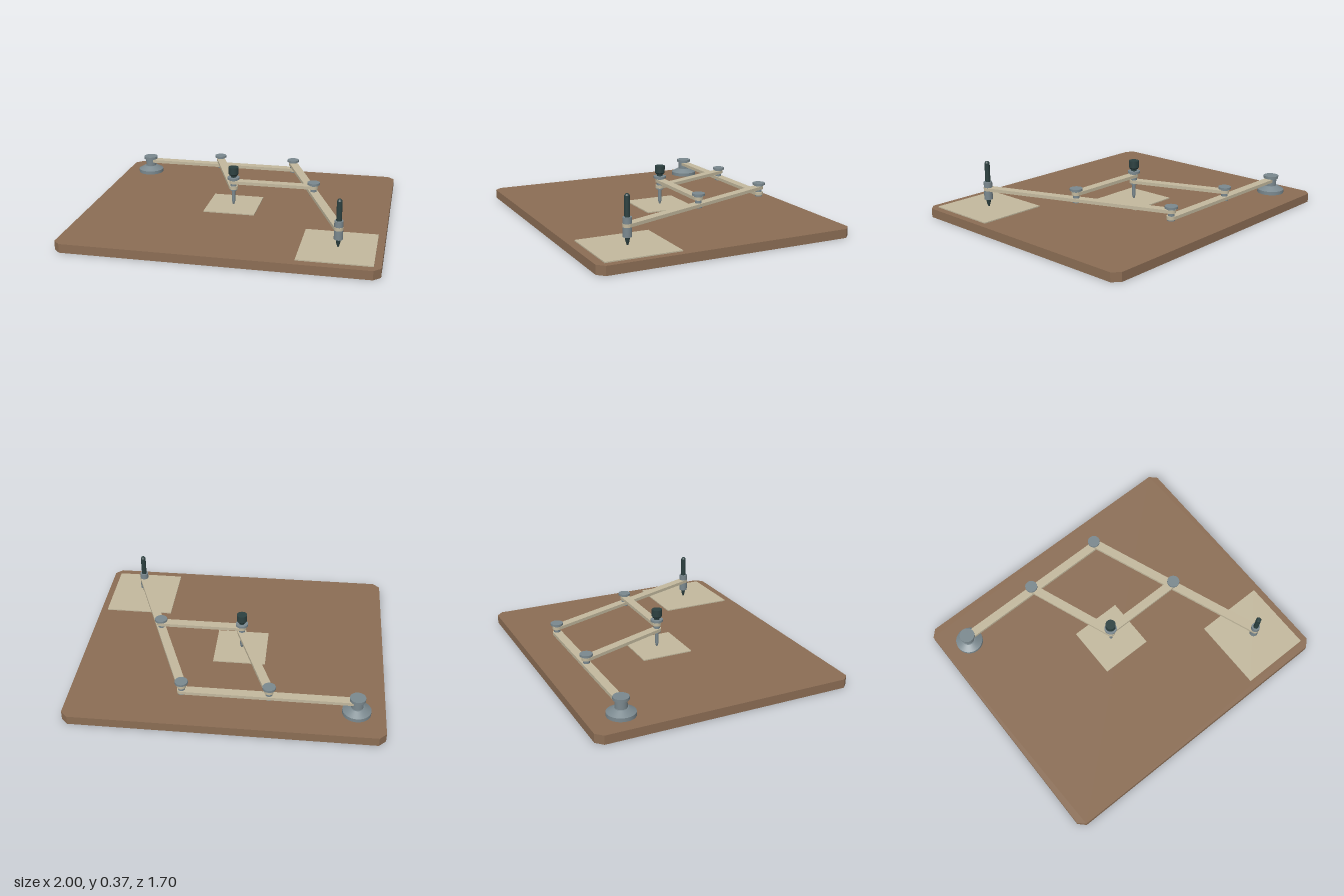
import * as THREE from 'three';

const paint = (name, color) => {
  const m = new THREE.MeshStandardMaterial({ color });
  m.name = name;
  return m;
};

export function createModel() {
  const wood = paint('wood', 0x8b6d54);
  const cream = paint('cream', 0xc2b89d);
  const metal = paint('metal', 0x7a888e);
  const dark = paint('darkGrip', 0x2c4040);

  const model = new THREE.Group();
  model.name = 'drawingPantograph';

  const add = (parent, name, geometry, material) => {
    const mesh = new THREE.Mesh(geometry, material);
    mesh.name = name;
    parent.add(mesh);
    return mesh;
  };

  // Flat outline laid on the ground plane, from y0 up to y1
  const slab = (shape, y0, y1) => new THREE.ExtrudeGeometry(shape, { depth: y1 - y0, bevelEnabled: false, curveSegments: 12 })
    .rotateX(-Math.PI / 2).translate(0, y0, 0);

  // Stack of turned sections: [name, bottom y, top y, bottom radius, top radius, material]
  const turned = (name, [x, z], sections) => {
    const group = new THREE.Group();
    group.name = name;
    group.position.set(x, 0, z);
    for (const [part, y0, y1, r0, r1, material] of sections) {
      add(group, part, new THREE.CylinderGeometry(r1, r0, y1 - y0, 32).translate(0, (y0 + y1) / 2, 0), material);
    }
    model.add(group);
  };

  // Board with clipped corners
  const X = 1, Z = 0.85, c = 0.044, top = 0.058;
  const outline = [[X, c - Z], [X, Z - c], [X - c, Z], [c - X, Z], [-X, Z - c], [-X, c - Z], [c - X, -Z], [X - c, -Z]];
  add(model, 'board', slab(new THREE.Shape(outline.map(([x, y]) => new THREE.Vector2(x, y))), 0, top), wood);

  // Paper sheets
  const sheet = (name, x0, x1, z0, z1) => add(model, name,
    new THREE.BoxGeometry(x1 - x0, 0.007, z1 - z0).translate((x0 + x1) / 2, top + 0.0035, (z0 + z1) / 2), cream);
  sheet('tracingSheet', -0.22, 0.125, -0.21, 0.136);
  sheet('drawingSheet', 0.495, 0.955, 0.312, 0.795);

  // Joint positions (x, z)
  const anchor = [-0.82, -0.628], rearMid = [-0.275, -0.628], rearEnd = [0.27, -0.628];
  const tracer = [-0.05, -0.037], elbow = [0.495, -0.037], pen = [0.724, 0.555];

  // Round-ended bars between joints
  const bar = (name, a, b, y0) => {
    const dx = b[0] - a[0], dz = b[1] - a[1], length = Math.hypot(dx, dz), r = 0.029;
    const shape = new THREE.Shape();
    shape.absarc(length, 0, r, -Math.PI / 2, Math.PI / 2);
    shape.absarc(0, 0, r, Math.PI / 2, Math.PI * 1.5);
    shape.closePath();
    const mesh = add(model, name, slab(shape, y0, y0 + 0.021), cream);
    mesh.position.set(a[0], 0, a[1]);
    mesh.rotation.y = Math.atan2(-dz, dx);
  };
  bar('rearBar', anchor, rearEnd, 0.134);
  bar('longBar', rearEnd, pen, 0.175);
  bar('shortBar', rearMid, tracer, 0.175);
  bar('frontBar', tracer, elbow, 0.216);

  // Fixed anchor
  turned('anchorPivot', anchor, [
    ['anchorFlange', top, 0.082, 0.09, 0.09, metal],
    ['anchorCone', 0.082, 0.108, 0.09, 0.045, metal],
    ['anchorColumn', 0.108, 0.16, 0.038, 0.038, metal],
    ['anchorCap', 0.16, 0.178, 0.05, 0.05, metal],
  ]);

  // Pivot screws joining two stacked bars, the lower one starting at y
  const screw = (y) => [
    ['pivotNut', y - 0.009, y, 0.024, 0.024, metal],
    ['pivotSpacer', y, y + 0.066, 0.021, 0.021, metal],
    ['pivotWasher', y + 0.062, y + 0.07, 0.028, 0.028, metal],
    ['pivotCap', y + 0.07, y + 0.084, 0.041, 0.041, metal],
  ];
  turned('rearMiddlePivot', rearMid, screw(0.134));
  turned('rearEndPivot', rearEnd, screw(0.134));
  turned('elbowPivot', elbow, screw(0.175));

  // Tracing pin with its knob
  turned('tracer', tracer, [
    ...screw(0.175),
    ['tracerTip', 0.064, 0.085, 0.005, 0.011, metal],
    ['tracerPin', 0.085, 0.17, 0.011, 0.011, metal],
    ['tracerNeck', 0.258, 0.28, 0.018, 0.018, dark],
    ['tracerKnobBase', 0.272, 0.284, 0.026, 0.034, dark],
    ['tracerKnob', 0.284, 0.33, 0.034, 0.034, dark],
  ]);

  // Pen in its holder
  turned('pen', pen, [
    ['penTip', 0.064, 0.085, 0.004, 0.011, dark],
    ['penCone', 0.085, 0.115, 0.011, 0.017, dark],
    ['penHolder', 0.115, 0.234, 0.028, 0.028, metal],
    ['penBarrel', 0.234, 0.36, 0.017, 0.017, dark],
    ['penEnd', 0.36, 0.371, 0.017, 0.01, dark],
  ]);

  return model;
}
